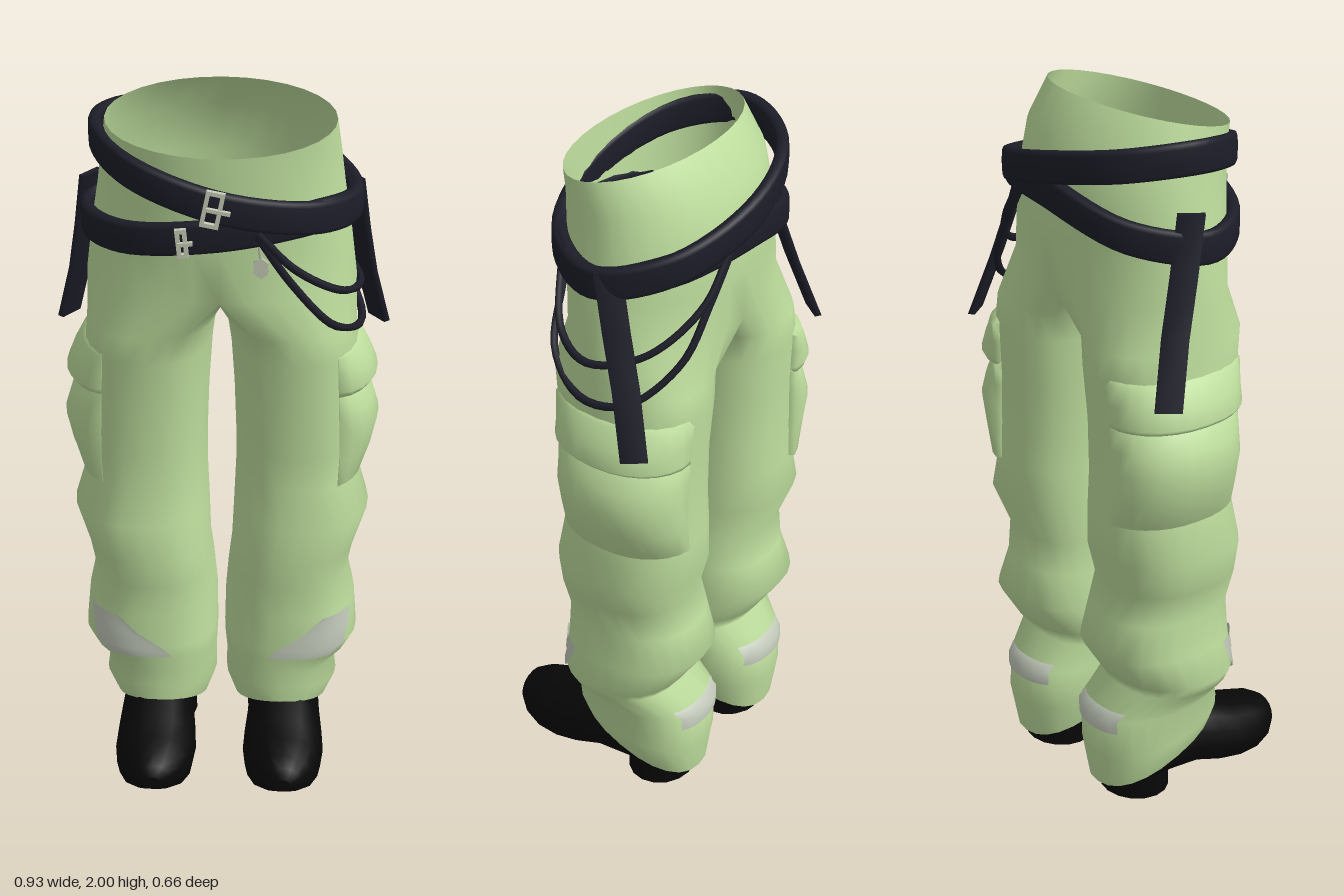
import * as THREE from 'three';
import { mergeGeometries, mergeVertices } from 'three/addons/utils/BufferGeometryUtils.js';

const V = (x, y, z) => new THREE.Vector3(x, y, z);
const RAD = Math.PI / 180, lerp = THREE.MathUtils.lerp;
const mat = (name, color, side = THREE.FrontSide) => {
  const m = new THREE.MeshStandardMaterial({ color, side });
  m.name = name;
  return m;
};
const range = (n, f) => Array.from({ length: n }, (_, i) => f(i));

// Skin a list of cross-sections; ring = closed sections, loop = closed path, caps = filled ends
function loft(rows, { ring = true, loop = false, caps = false } = {}) {
  const n = rows[0].length, m = rows.length, pts = rows.flat(), idx = [];
  for (let i = 0; i < (loop ? m : m - 1); i++)
    for (let j = 0; j < (ring ? n : n - 1); j++) {
      const k = (j + 1) % n, p = i * n, q = ((i + 1) % m) * n;
      idx.push(p + j, p + k, q + j, p + k, q + k, q + j);
    }
  if (caps) [rows[0], rows[m - 1]].forEach((r, e) => {
    const base = pts.length;
    pts.push(...r, r.reduce((s, p) => s.add(p), V(0, 0, 0)).divideScalar(n));
    for (let j = 0; j < n; j++) {
      const k = (j + 1) % n;
      idx.push(base + n, base + (e ? j : k), base + (e ? k : j));
    }
  });
  const g = new THREE.BufferGeometry().setFromPoints(pts);
  g.setIndex(idx);
  g.computeVertexNormals();
  return g;
}
function mirror(geo) {
  const g = geo.clone().scale(-1, 1, 1), a = g.index.array;
  for (let i = 0; i < a.length; i += 3) [a[i], a[i + 1]] = [a[i + 1], a[i]];
  g.computeVertexNormals();
  return g;
}

// Hips: y, half width, front z, back z, tilt
const HIPS = [
  [1.96, .305, .19, -.19, -.21], [1.87, .316, .187, -.262, -.1], [1.76, .33, .182, -.288, 0],
  [1.65, .347, .175, -.288, 0], [1.5, .365, .163, -.285, 0],
];
function hipPoint([y, r, zf, zb, s], a) {
  const z = (zf + zb) / 2 + (zf - zb) / 2 * Math.sin(a);
  return V(r * Math.cos(a), y + s * z, z);
}

// Left leg: y, inner x, outer x, front z, back z, tilt
const LEG = [
  [1.38, .014, .368, .148, -.287, 0], [1.3, .025, .375, .135, -.29, 0], [1.15, .035, .38, .12, -.28, 0],
  [1.0, .04, .385, .11, -.28, 0], [.9, .04, .38, .107, -.285, 0], [.78, .035, .415, .118, -.29, 0],
  [.67, .03, .375, .13, -.253, 0], [.58, .02, .362, .11, -.27, 0], [.48, .012, .382, .11, -.3, 0],
  [.38, .01, .39, .112, -.235, 0], [.34, .012, .365, .108, -.21, 0], [.28, .015, .325, .1, -.29, .05],
  [.2, .015, .335, .1, -.29, .25], [.122, .042, .303, .097, -.277, .405],
];
const soft = v => Math.sign(v) * Math.abs(v) ** .87;
// Point on the leg at height v and angle t in degrees, pushed out by off
function legPoint(v, t, off = 0) {
  let i = 0;
  while (i < LEG.length - 2 && v < LEG[i + 1][0]) i++;
  const f = (LEG[i][0] - v) / (LEG[i][0] - LEG[i + 1][0]);
  const [y, xi, xo, zf, zb, s] = LEG[i].map((a, k) => lerp(a, LEG[i + 1][k], f));
  const c = Math.cos(t * RAD), d = Math.sin(t * RAD);
  const z = (zf + zb) / 2 + (zf - zb) / 2 * soft(d);
  return V((xi + xo) / 2 + (xo - xi) / 2 * soft(c) + off * c, y + s * (z + .08), z + off * d);
}
// Top edge of a leg: hip outline outside, crotch saddle inside
function legTop(t) {
  const hip = HIPS[HIPS.length - 1];
  if (t <= 120) return hipPoint(hip, t * .75 * RAD);
  const u = (t - 120) / 120;
  return V(0, 1.5 - .09 * Math.sin(u * Math.PI), lerp(hip[2], hip[3], u));
}
// Thin patch lying on the leg: rows of [height, first angle, last angle]
const patch = rows => loft(rows.map(([v, a, b]) =>
  range(9, j => legPoint(v, lerp(a, b, j / 8), .006))), { ring: false });
// Bulging pocket piece: rows of [height, bulge], back edge raised, front edge blending into the leg
const pocket = rows => loft(rows.map(([v, bulge]) => range(15, j => {
  if (j === 0 || j === 14) return legPoint(v, j ? 50 : -76, -.01);
  const u = (j - 1) / 12;
  return legPoint(v, lerp(-76, 50, u), bulge < 0 ? bulge : lerp(.018, .004, u) + bulge * Math.sin(u * Math.PI) ** .7);
})), { ring: false });

// Belt from eight heights, with its own half widths on each side
function belt(heights, left, right, rz) {
  const curve = new THREE.CatmullRomCurve3(heights.map((y, i) => {
    const c = Math.cos(i * 45 * RAD), s = Math.sin(i * 45 * RAD);
    return V(c * (c > 0 ? left : right), y, -.057 + rz * s);
  }), true);
  return loft(range(56, i => {
    const p = curve.getPoint(i / 56), d = curve.getTangent(i / 56);
    const n = V(d.z, 0, -d.x).normalize();
    return range(12, k => {
      const c = Math.cos(k * 30 * RAD), s = Math.sin(k * 30 * RAD);
      const e = v => Math.sign(v) * Math.abs(v) ** .5;
      return p.clone().addScaledVector(n, .018 * e(c)).add(V(0, .046 * e(s), 0));
    });
  }), { loop: true });
}

export function createModel() {
  const group = new THREE.Group();
  const cloth = mat('green cloth', 0xbfdf9e, THREE.DoubleSide);
  const strapMat = mat('dark strap', 0x1d1d29);
  const bootMat = mat('black boot', 0x070707);
  const patchMat = mat('grey patch', 0xc2c9ba, THREE.DoubleSide);
  const metal = mat('pale metal', 0xc2c9b4);
  const add = (name, geo, m) => {
    const mesh = new THREE.Mesh(geo, m);
    mesh.name = name;
    group.add(mesh);
    return mesh;
  };
  const pair = (name, geo, m) => {
    add(name + 'Left', geo, m);
    add(name + 'Right', mirror(geo), m);
  };

  // Trousers as one smooth skin
  const angles = range(24, j => -120 + 15 * j);
  const hips = loft(HIPS.map(r => range(32, j => hipPoint(r, (-90 + 11.25 * j) * RAD))));
  const leg = loft([angles.map(legTop), ...LEG.map(r => angles.map(t => legPoint(r[0], t)))]);
  const parts = [hips, leg, mirror(leg)];
  parts.forEach(g => g.deleteAttribute('normal'));
  const trousers = mergeVertices(mergeGeometries(parts), 1e-4);
  trousers.computeVertexNormals();
  add('trousers', trousers, cloth);

  // Cargo pockets with flaps
  pair('pocketFlap', pocket([[1.315, -.01], [1.305, 0], [1.25, .026], [1.2, .044], [1.185, .03], [1.178, -.01]]), cloth);
  pair('pocket', pocket([[1.19, -.01], [1.18, .004], [1.12, .03], [1.06, .046], [.98, .026], [.9, .003], [.89, -.01]]), cloth);

  // Knee patches and calf stripes
  pair('kneePatch', patch([[.35, 52, 104], [.38, 42, 99], [.43, 32, 82], [.48, 28, 63]]), patchMat);
  pair('calfStripe', patch([[.298, -124, -60], [.28, -124, -60], [.255, -124, -60]]), patchMat);

  // Boots: z, half width, bottom, top
  const BOOT = [
    [-.225, .07, .04, .11], [-.19, .095, .04, .15], [-.1, .1, .045, .22], [0, .104, .04, .22], [.08, .112, .015, .2],
    [.15, .116, .006, .17], [.22, .108, .006, .15], [.28, .085, .018, .135], [.315, .055, .035, .115], [.33, .025, .05, .085],
  ];
  const boot = loft(BOOT.map(([z, w, y0, y1]) => range(16, k => {
    const c = Math.cos(k * 22.5 * RAD), s = Math.sin(k * 22.5 * RAD), h = y0 + (y1 - y0) * .35;
    return V(.184 + w * soft(c), s > 0 ? lerp(h, y1, s) : lerp(h, y0, Math.abs(s) ** .4), z);
  })), { caps: true });
  pair('boot', boot, bootMat);
  const heel = new THREE.CylinderGeometry(.092, .094, .06, 16).scale(1.1, 1, 1).translate(.18, .03, -.152);
  pair('bootHeel', heel, bootMat);
  pair('bootShaft', new THREE.CylinderGeometry(.095, .1, .2, 20).scale(1, 1, 1.2).translate(.178, .18, -.065), bootMat);

  // Two crossed belts
  add('upperBelt', belt([1.717, 1.735, 1.79, 1.86, 1.9, 1.885, 1.835, 1.762], .362, .335, .256), strapMat);
  add('lowerBelt', belt([1.712, 1.735, 1.71, 1.672, 1.662, 1.7, 1.775, 1.757], .354, .362, .25), strapMat);

  // Hanging strap ends
  const path = [V(.352, 1.76, -.1), V(.372, 1.6, -.14), V(.395, 1.45, -.185), V(.435, 1.275, -.237)];
  const w = V(.6, 0, .8), n = V(.8, 0, -.6);
  pair('strapEnd', loft(path.map(p => [[1, 1], [1, -1], [-1, -1], [-1, 1]].map(([a, b]) =>
    p.clone().addScaledVector(w, a * .036).addScaledVector(n, b * .01))), { caps: true }), strapMat);

  // Side cords sagging from front to back
  const cords = [
    [[.1, 1.72, .2], [.2, 1.6, .16], [.325, 1.5, .068], [.376, 1.475, -.05], [.32, 1.52, -.195], [.2, 1.64, -.29], [.1, 1.77, -.305]],
    [[.1, 1.71, .195], [.19, 1.56, .16], [.3, 1.42, .112], [.379, 1.36, -.03], [.367, 1.385, -.17], [.27, 1.5, -.272], [.18, 1.64, -.296], [.1, 1.76, -.305]],
  ];
  cords.forEach((c, i) => add('sideCord' + (i + 1),
    new THREE.TubeGeometry(new THREE.CatmullRomCurve3(c.map(p => V(...p))), 40, .011, 6), strapMat));

  // Buckles: open frame with a prong
  const frame = (bw, bh) => {
    const rect = (S, a, b) => new S([[-a, -b], [a, -b], [a, b], [-a, b]].map(p => new THREE.Vector2(...p)));
    const s = rect(THREE.Shape, bw / 2, bh / 2);
    s.holes.push(rect(THREE.Path, bw / 2 - .011, bh / 2 - .011));
    return new THREE.ExtrudeGeometry(s, { depth: .014, bevelEnabled: false });
  };
  [['upper', -.015, 1.795, .215, .05, .1], ['lower', -.095, 1.695, .205, .03, .08]].forEach(([k, x, y, z, bw, bh]) => {
    const b = add(k + 'Buckle', frame(bw, bh), metal);
    b.position.set(x, y, z);
    b.rotation.z = k === 'upper' ? -.2 : .1;
    const prong = new THREE.Mesh(new THREE.BoxGeometry(bw * 1.3, .01, .012), metal);
    prong.name = k + 'BuckleProng';
    prong.position.set(bw * .3, 0, .014);
    b.add(prong);
  });

  // Zip pull
  const cord = new THREE.LineCurve3(V(.1, 1.72, .195), V(.11, 1.63, .178));
  add('zipCord', new THREE.TubeGeometry(cord, 2, .004, 5), metal);
  add('zipTag', new THREE.CylinderGeometry(.022, .022, .01, 6).rotateX(Math.PI / 2).scale(1, 1.4, 1).translate(.11, 1.612, .178), metal);
  return group;
}
